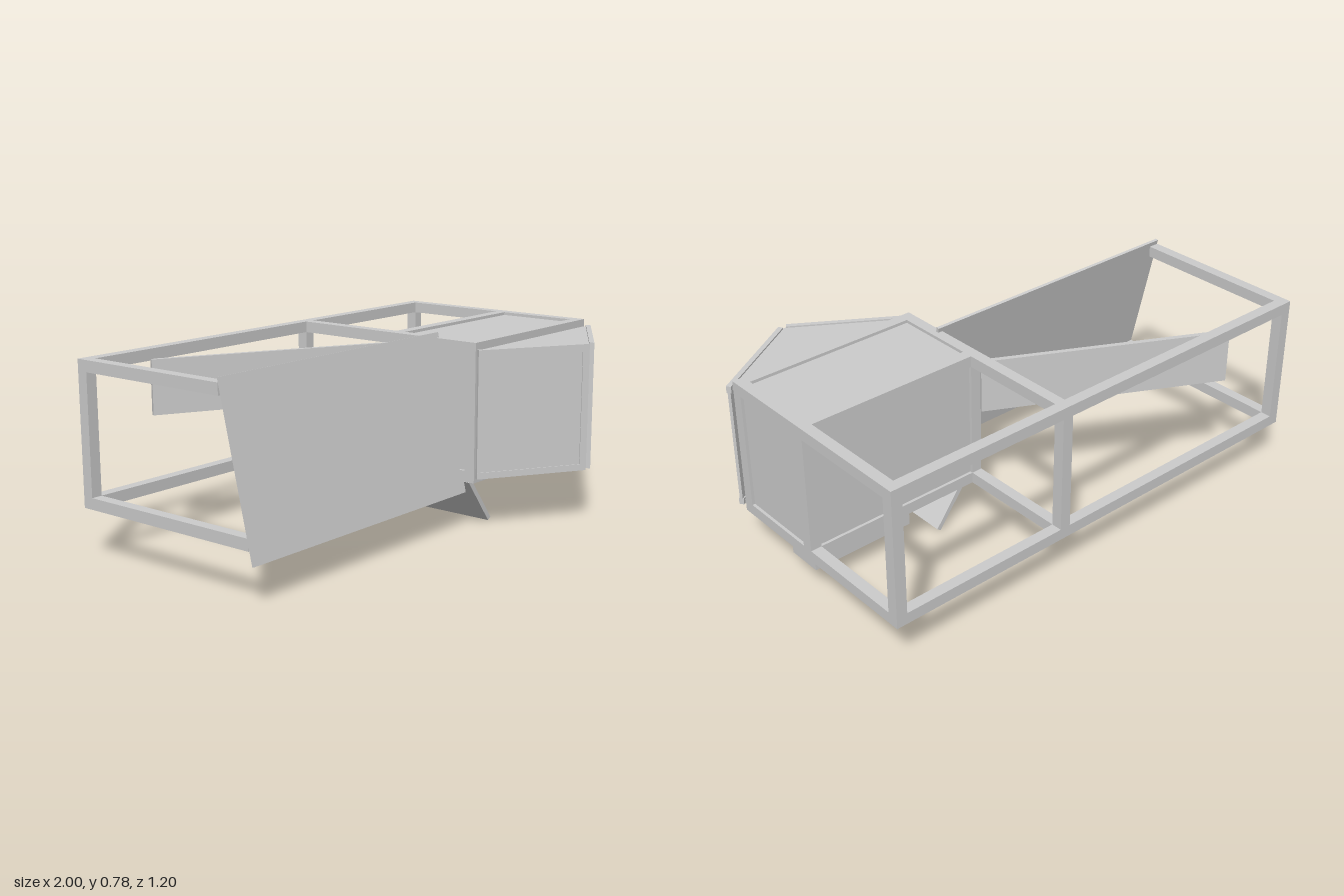
import * as THREE from 'three';

const material = new THREE.MeshStandardMaterial({ color: 0xcccccc, flatShading: true, side: THREE.DoubleSide });

function add(parent, name, geometry) {
  const mesh = new THREE.Mesh(geometry, material);
  mesh.name = name;
  parent.add(mesh);
  return mesh;
}

// Box given by its limits on each axis
function block(parent, name, [x0, x1], [y0, y1], [z0, z1]) {
  const mesh = add(parent, name, new THREE.BoxGeometry(x1 - x0, y1 - y0, z1 - z0));
  mesh.position.set((x0 + x1) / 2, (y0 + y1) / 2, (z0 + z1) / 2);
  return mesh;
}

// Upright board running between two points of the plan (x, z)
function board(parent, name, [ax, az], [bx, bz], [y0, y1], thickness) {
  const mesh = add(parent, name, new THREE.BoxGeometry(Math.hypot(bx - ax, bz - az), y1 - y0, thickness));
  mesh.position.set((ax + bx) / 2, (y0 + y1) / 2, (az + bz) / 2);
  mesh.rotation.y = -Math.atan2(bz - az, bx - ax);
  return mesh;
}

function group(parent, name) {
  const g = new THREE.Group();
  g.name = name;
  parent.add(g);
  return g;
}

export function createModel() {
  const model = new THREE.Group();
  model.name = 'model';
  const B = 0.045; // beam width
  const low = [0.2, 0.2 + B], high = [0.715, 0.76], between = [0.2 + B, 0.715];
  const left = [-1, -1 + B], mid = [0.185, 0.23], right = [0.94, 0.985];
  const back = [-0.6, -0.6 + B], inner = [-0.105, -0.06], front = [0.275, 0.32];

  // Open frame of square beams
  const frame = group(model, 'frame');
  for (const [y, leftEnd] of [[low, 0.24], [high, 0.115]]) {
    block(frame, 'backBeam', [-1, 0.985], y, back);
    block(frame, 'leftBeam', left, y, [back[1], leftEnd]);
    block(frame, 'middleBeam', mid, y, [back[1], 0.32]);
    block(frame, 'rightBeam', right, y, [back[1], 0.32]);
    block(frame, 'cabinBackBeam', [mid[1], right[0]], y, inner);
    block(frame, 'cabinFrontBeam', [mid[1], right[0]], y, front);
  }
  for (const x of [left, mid, right]) block(frame, 'backPost', x, between, back);
  for (const x of [mid, right])
    for (const z of [inner, front]) block(frame, 'cabinPost', x, between, z);

  // Infill panels of the cabin, set back from the beams
  const cabin = group(model, 'cabin');
  const px = [mid[1], right[0]], pz = [inner[1], front[0]];
  block(cabin, 'roofPanel', px, [0.73, 0.748], pz);
  block(cabin, 'rightPanel', [0.955, 0.973], between, pz);
  block(cabin, 'leftPanel', [0.197, 0.215], between, pz);
  block(cabin, 'backPanel', px, between, [-0.093, -0.075]);
  block(cabin, 'floorPanel', [0.46, right[0]], [0.205, 0.225], pz);

  // Shallow tray below the floor, open at the front
  const tray = group(model, 'tray');
  const tz = [-0.055, 0.09];
  block(tray, 'trayBottom', [0.505, 0.94], [0.108, 0.13], tz);
  block(tray, 'trayBack', [0.527, 0.918], [0.13, 0.205], [-0.055, -0.035]);
  for (const x of [[0.505, 0.527], [0.918, 0.94]]) block(tray, 'traySide', x, [0.13, 0.205], tz);

  // Floor hatch hanging open
  const hatch = add(model, 'floorHatch', new THREE.BoxGeometry(0.232, 0.02, 0.33));
  hatch.position.set(0.293, 0.102, 0.11);
  hatch.rotation.z = Math.atan2(-0.185, 0.138);

  // Big leaning front panel
  const lean = add(model, 'leaningPanel', new THREE.BoxGeometry(1.205, 0.645, 0.012));
  lean.position.set(-0.3975, 0.465, 0.19);
  lean.rotation.x = -Math.atan2(0.145, 0.63);

  // Diagonal board inside the open half
  board(model, 'diagonalBoard', [-0.69, -0.555], [0.18, -0.1], [0.505, 0.72], 0.02);

  // Pointed bay in front of the cabin
  const bay = group(model, 'bay');
  const cap = new THREE.Shape([[0.2, -0.32], [0.2, -0.335], [0.59, -0.585], [0.98, -0.335], [0.98, -0.32]]
    .map(([x, y]) => new THREE.Vector2(x, y)));
  for (const [name, y] of [['bayRoof', 0.715], ['bayFloor', 0.222]]) {
    const mesh = add(bay, name, new THREE.ExtrudeGeometry(cap, { depth: 0.014, bevelEnabled: false }));
    mesh.rotation.x = -Math.PI / 2;
    mesh.position.y = y;
  }
  for (const [side, a, b] of [
    ['left', [0.18, 0.335], [0.578, 0.587]],
    ['right', [0.995, 0.335], [0.602, 0.587]],
  ]) {
    const at = (t) => [a[0] + (b[0] - a[0]) * t, a[1] + (b[1] - a[1]) * t];
    board(bay, side + 'Door', a, b, [0.225, 0.73], 0.012);
    board(bay, side + 'DoorTopRail', a, b, [0.708, 0.735], 0.02);
    board(bay, side + 'DoorBottomRail', a, b, [0.222, 0.248], 0.02);
    board(bay, side + 'DoorStile', at(0.94), b, [0.248, 0.708], 0.02);
  }
  return model;
}
